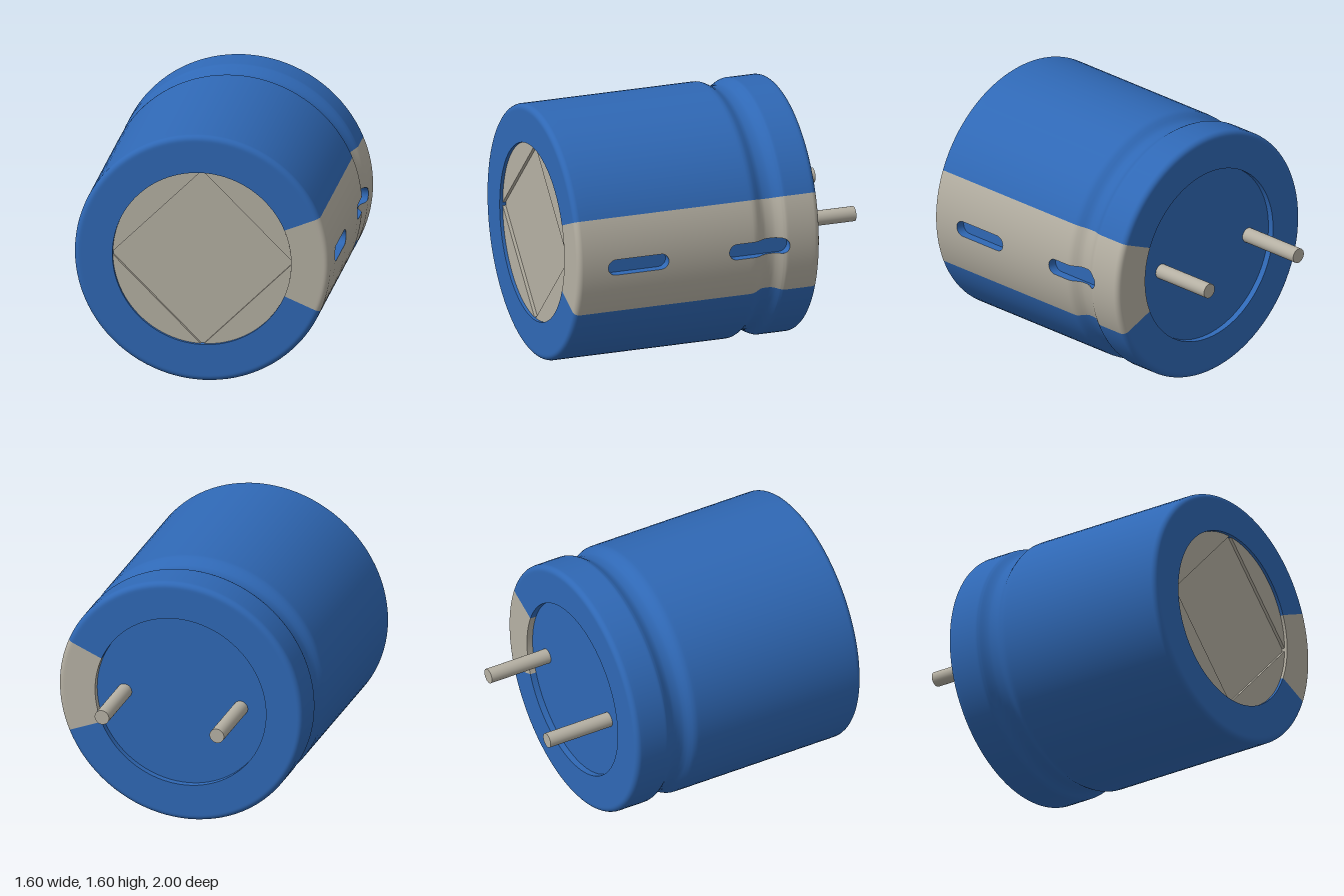
import * as THREE from 'three';

const CY = 0.8, R = 0.8, RIM = 0.56, FRONT = 1, BACK = -0.6, BEVEL = 0.035;
const STRIPE = Math.PI / 8;               // half angle of the grey stripe
const SLOTS = [0.6, -0.2], SLOT_HALF = 0.2, SLOT_R = 0.05, FLOOR_X = 0.74;
const PIN_R = 0.047;

const blue = new THREE.MeshStandardMaterial({ color: 0x2f68b5, side: THREE.DoubleSide });
blue.name = 'blue sleeve';
const grey = new THREE.MeshStandardMaterial({ color: 0xb5b0a3, side: THREE.DoubleSide });
grey.name = 'warm grey';

// Radius of the can along z, with its crimped groove
function canRadius(z) {
  return R - 0.04 * (1 - THREE.MathUtils.smoothstep(Math.abs(z + 0.28), 0.02, 0.11));
}

// Half height of a slot at z, zero away from the slots
function slotHalf(z) {
  for (const c of SLOTS) {
    const d = Math.abs(z - c);
    if (d < SLOT_HALF) {
      const e = Math.max(0, d - (SLOT_HALF - SLOT_R));
      return Math.sqrt(SLOT_R * SLOT_R - e * e);
    }
  }
  return 0;
}

// Profile from the back rim, over the side, to the front rim
function shellProfile() {
  const pts = [new THREE.Vector2(RIM, BACK), new THREE.Vector2(R - BEVEL - 0.01, BACK)];
  const corner = (z, from) => {
    for (let i = 0; i <= 6; i++) {
      const a = from + (i / 6) * Math.PI / 2;
      pts.push(new THREE.Vector2(R - BEVEL + Math.cos(a) * BEVEL, z + Math.sin(a) * BEVEL));
    }
  };
  corner(BACK + BEVEL, -Math.PI / 2);
  const zs = [];
  for (let z = -0.54; z < -0.1; z += 0.02) zs.push(z);
  for (const c of SLOTS) {
    for (let i = 0; i <= 6; i++) {
      const d = SLOT_HALF - SLOT_R + SLOT_R * Math.sin(i / 6 * Math.PI / 2);
      zs.push(c - d, c + d);
    }
  }
  zs.push(0.2, 0.9);
  zs.sort((a, b) => a - b);
  zs.filter((z, i) => i === 0 || z - zs[i - 1] > 1e-5)
    .forEach(z => pts.push(new THREE.Vector2(canRadius(z), z)));
  corner(FRONT - BEVEL, 0);
  pts.push(new THREE.Vector2(R - BEVEL - 0.01, FRONT), new THREE.Vector2(RIM, FRONT));
  return pts;
}

// Lathe around the z axis; angle 0 lies on +x
function turned(points, segments, start, length) {
  return new THREE.LatheGeometry(points, segments, Math.PI / 2 + start, length).rotateX(Math.PI / 2);
}

// Half of the stripe, with its inner edge pulled back around the slots
function stripeHalf(profile, sign) {
  const g = turned(profile, 8, sign > 0 ? 0 : -STRIPE, STRIPE);
  const pos = g.attributes.position, nor = g.attributes.normal;
  const p = new THREE.Vector3(), n = new THREE.Vector3(), axis = new THREE.Vector3(0, 0, 1);
  for (let i = 0; i < pos.count; i++) {
    p.fromBufferAttribute(pos, i);
    n.fromBufferAttribute(nor, i);
    const a = Math.atan2(p.y, p.x), gap = Math.asin(slotHalf(p.z) / Math.hypot(p.x, p.y));
    const turn = sign * gap * (1 - Math.abs(a) / STRIPE);
    p.applyAxisAngle(axis, turn);
    n.applyAxisAngle(axis, turn);
    pos.setXYZ(i, p.x, p.y, p.z);
    nor.setXYZ(i, n.x, n.y, n.z);
  }
  return g;
}

// Wall and flat floor of one slot
function slotPocket(c) {
  const ring = [];
  const straight = SLOT_HALF - SLOT_R;
  for (const s of [1, -1]) {
    for (let i = 0; i <= 12; i++) {
      const a = -Math.PI / 2 + i / 12 * Math.PI;
      ring.push([c + s * (straight + Math.cos(a) * SLOT_R), s * Math.sin(a) * SLOT_R]);
    }
    for (let i = 1; i < 16; i++) ring.push([c + s * straight * (1 - i / 8), s * SLOT_R]);
  }
  const v = [], idx = [], n = ring.length;
  for (const [z, y] of ring) {
    const r = canRadius(z);
    v.push(Math.sqrt(r * r - y * y), y, z, FLOOR_X, y, z);
  }
  for (let i = 0; i < n; i++) {
    const a = 2 * i, b = 2 * ((i + 1) % n);
    idx.push(a, a + 1, b, b, a + 1, b + 1);
  }
  const wall = new THREE.BufferGeometry();
  wall.setAttribute('position', new THREE.Float32BufferAttribute(v, 3));
  wall.setIndex(idx);
  wall.computeVertexNormals();
  const floor = new THREE.ShapeGeometry(new THREE.Shape(ring.map(([z, y]) => new THREE.Vector2(-z, y))));
  floor.rotateY(Math.PI / 2).translate(FLOOR_X, 0, 0);
  return [wall, floor];
}

export function createModel() {
  const model = new THREE.Group();
  model.name = 'capacitor';
  const add = (name, geometry, material) => {
    const mesh = new THREE.Mesh(geometry, material);
    mesh.name = name;
    mesh.position.y = CY;
    model.add(mesh);
    return mesh;
  };

  // Sleeve and stripe
  const profile = shellProfile();
  const rest = Math.PI * 2 - 2 * STRIPE;
  add('sleeve', turned(profile, 84, STRIPE, rest), blue);
  add('stripeUpper', stripeHalf(profile, 1), grey);
  add('stripeLower', stripeHalf(profile, -1), grey);
  SLOTS.forEach((c, i) => {
    const [wall, floor] = slotPocket(c);
    add('slotWall' + (i + 1), wall, blue);
    add('slotFloor' + (i + 1), floor, blue);
  });

  // Inner edges of the two rims
  for (const [name, z0, z1] of [['frontRim', FRONT, 0.955], ['backRim', -0.555, BACK]]) {
    const edge = [new THREE.Vector2(RIM, z0), new THREE.Vector2(RIM, z1)];
    add(name + 'Edge', turned(edge, 84, STRIPE, rest), blue);
    add(name + 'StripeEdge', turned(edge, 12, -STRIPE, 2 * STRIPE), grey);
  }

  // Front cap: four raised quarters leave a cross-shaped vent groove
  add('ventFloor', new THREE.CircleGeometry(RIM, 96).translate(0, 0, 0.96), grey);
  const g = 0.011, a = Math.asin(g / RIM);
  const quarter = new THREE.Shape();
  quarter.moveTo(g, g);
  quarter.absarc(0, 0, RIM, a, Math.PI / 2 - a, false);
  quarter.closePath();
  const quarterGeo = new THREE.ExtrudeGeometry(quarter, { depth: 0.02, bevelEnabled: false, curveSegments: 24 });
  for (let i = 0; i < 4; i++) {
    const q = add('capQuarter' + (i + 1), quarterGeo, grey);
    q.position.z = 0.96;
    q.rotation.z = i * Math.PI / 2;
  }

  // Back plug and the two pins
  add('backPlug', new THREE.CircleGeometry(RIM, 96).rotateY(Math.PI).translate(0, 0, -0.56), blue);
  for (const [name, x, end] of [['leftPin', 0.38, -0.98], ['rightPin', -0.38, -1]]) {
    const length = -0.55 - end;
    const pin = new THREE.CylinderGeometry(PIN_R, PIN_R, length, 32).rotateX(Math.PI / 2);
    add(name, pin.translate(x, 0, end + length / 2), grey);
  }
  return model;
}
